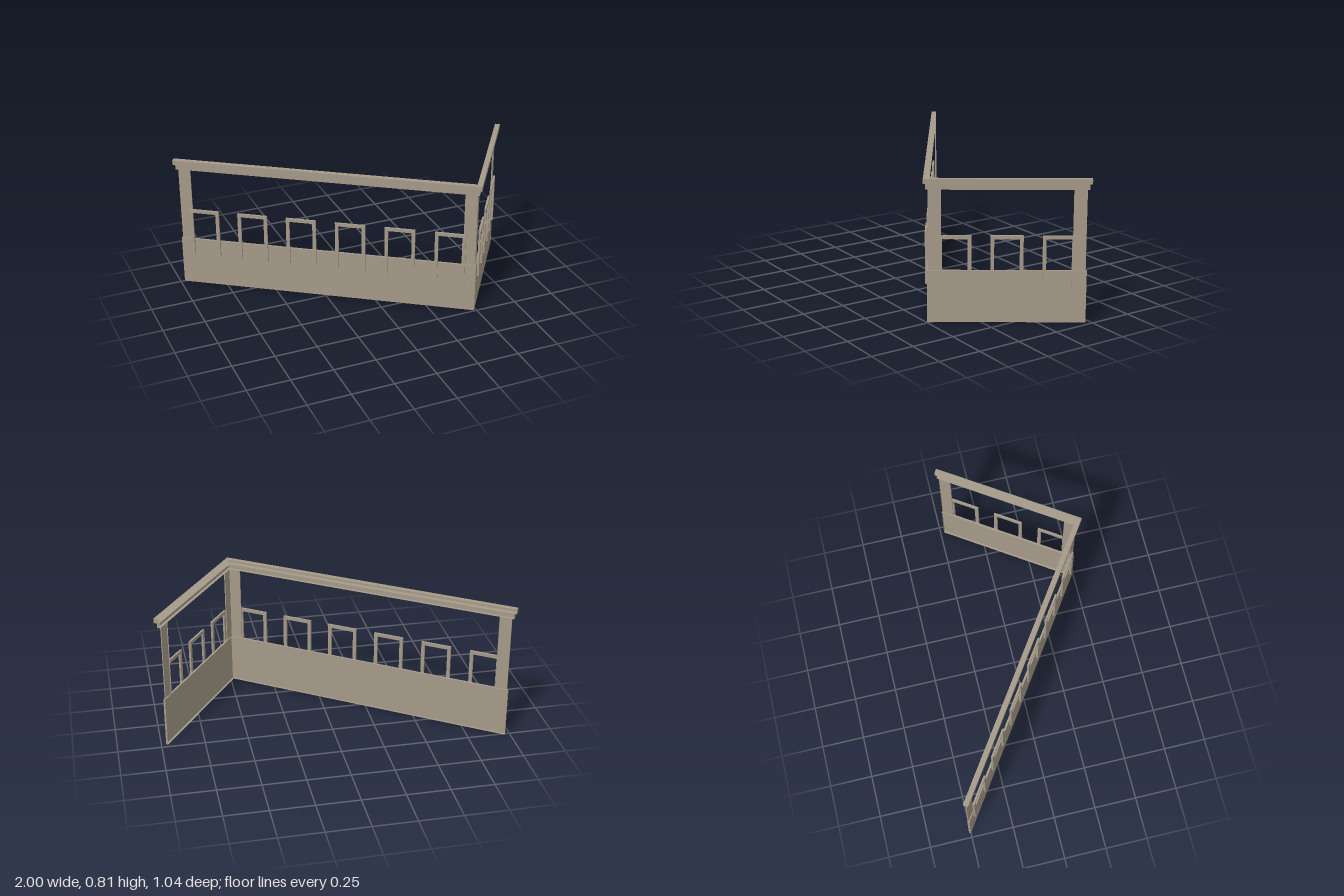
import * as THREE from 'three';

const LONG = 1.767, SHORT = 0.866; // wing lengths from the shared corner
const BACK = -0.012;               // common open back plane

const stone = new THREE.MeshStandardMaterial({ color: 0xa59a88, side: THREE.DoubleSide });
stone.name = 'warm grey stone';

// Thin shell: front points run from one end to the other, back points return; the back is left open.
function shell(name, front, back, y0, y1) {
  const pos = [];
  const tri = (...p) => p.forEach(([x, y, z]) => pos.push(x, y, z));
  const side = [back[back.length - 1], ...front, back[0]];
  for (let i = 0; i < side.length - 1; i++) {
    const [ax, az] = side[i], [bx, bz] = side[i + 1];
    tri([ax, y0, az], [bx, y0, bz], [bx, y1, bz]);
    tri([ax, y0, az], [bx, y1, bz], [ax, y1, az]);
  }
  // top and bottom strips between the front and back lines
  const inner = [...back].reverse();
  for (let i = 0; i < front.length - 1; i++) {
    const f0 = front[i], f1 = front[i + 1], b0 = inner[i], b1 = inner[i + 1];
    const at = (p, y) => [p[0], y, p[1]];
    tri(at(f0, y1), at(f1, y1), at(b1, y1), at(f0, y1), at(b1, y1), at(b0, y1));
    tri(at(f0, y0), at(b1, y0), at(f1, y0), at(f0, y0), at(b0, y0), at(b1, y0));
  }
  const geo = new THREE.BufferGeometry();
  geo.setAttribute('position', new THREE.Float32BufferAttribute(pos, 3));
  geo.computeVertexNormals();
  const mesh = new THREE.Mesh(geo, stone);
  mesh.name = name;
  return mesh;
}

// L-shaped band around the corner; s is how far its front stands out.
function band(name, a, b, s, y0, y1) {
  return shell(name,
    [[-a, s], [s, s], [s, -b]],
    [[BACK, -b], [BACK, BACK], [-a, BACK]], y0, y1);
}

// Upside-down U frame, drawn from x = 0 to its width.
function frameGeometry() {
  const w = 0.178, t = 0.02, y0 = 0.197, y1 = 0.497;
  const s = new THREE.Shape([
    [0, y0], [t, y0], [t, y1 - t], [w - t, y1 - t],
    [w - t, y0], [w, y0], [w, y1], [0, y1],
  ].map(([x, y]) => new THREE.Vector2(x, y)));
  return new THREE.ExtrudeGeometry(s, { depth: 0.012, bevelEnabled: false });
}

export function createModel() {
  const model = new THREE.Group();
  model.name = 'cornerArcade';
  const building = new THREE.Group();
  building.name = 'building';
  building.position.set(0.485, 0, 0.494);
  building.rotation.y = -THREE.MathUtils.degToRad(34.27);
  model.add(building);

  // Low wall and two-step cornice
  building.add(band('lowWall', LONG, SHORT, 0, 0, 0.297));
  building.add(band('lowerCornice', LONG + 0.006, SHORT + 0.006, 0.006, 0.75, 0.783));
  building.add(band('upperCornice', LONG + 0.018, SHORT + 0.018, 0.018, 0.783, 0.811));

  // Posts, set slightly back from the wall face
  const r = -0.006, w = 0.072, p0 = 0.297, p1 = 0.75;
  building.add(band('cornerPost', w - r, w - r, r, p0, p1));
  const a = LONG + r, b = SHORT + r;
  building.add(shell('longWingEndPost',
    [[-a, r], [-a + w, r]], [[-a + w, BACK], [-a, BACK]], p0, p1));
  building.add(shell('shortWingEndPost',
    [[r, -b + w], [r, -b]], [[BACK, -b], [BACK, -b + w]], p0, p1));

  // Window frames on the outer faces
  const geo = frameGeometry(), gap = 0.063, fw = 0.178;
  const addFrames = (name, length, count, place) => {
    const step = (length - 2 * gap - fw) / (count - 1);
    for (let i = 0; i < count; i++) {
      const frame = new THREE.Mesh(geo, stone);
      frame.name = name + (i + 1);
      place(frame, gap + i * step);
      building.add(frame);
    }
  };
  addFrames('longWingFrame', LONG, 6, (f, d) => { f.position.x = -d - fw; });
  addFrames('shortWingFrame', SHORT, 3, (f, d) => {
    f.rotation.y = Math.PI / 2;
    f.position.z = -d;
  });

  return model;
}
